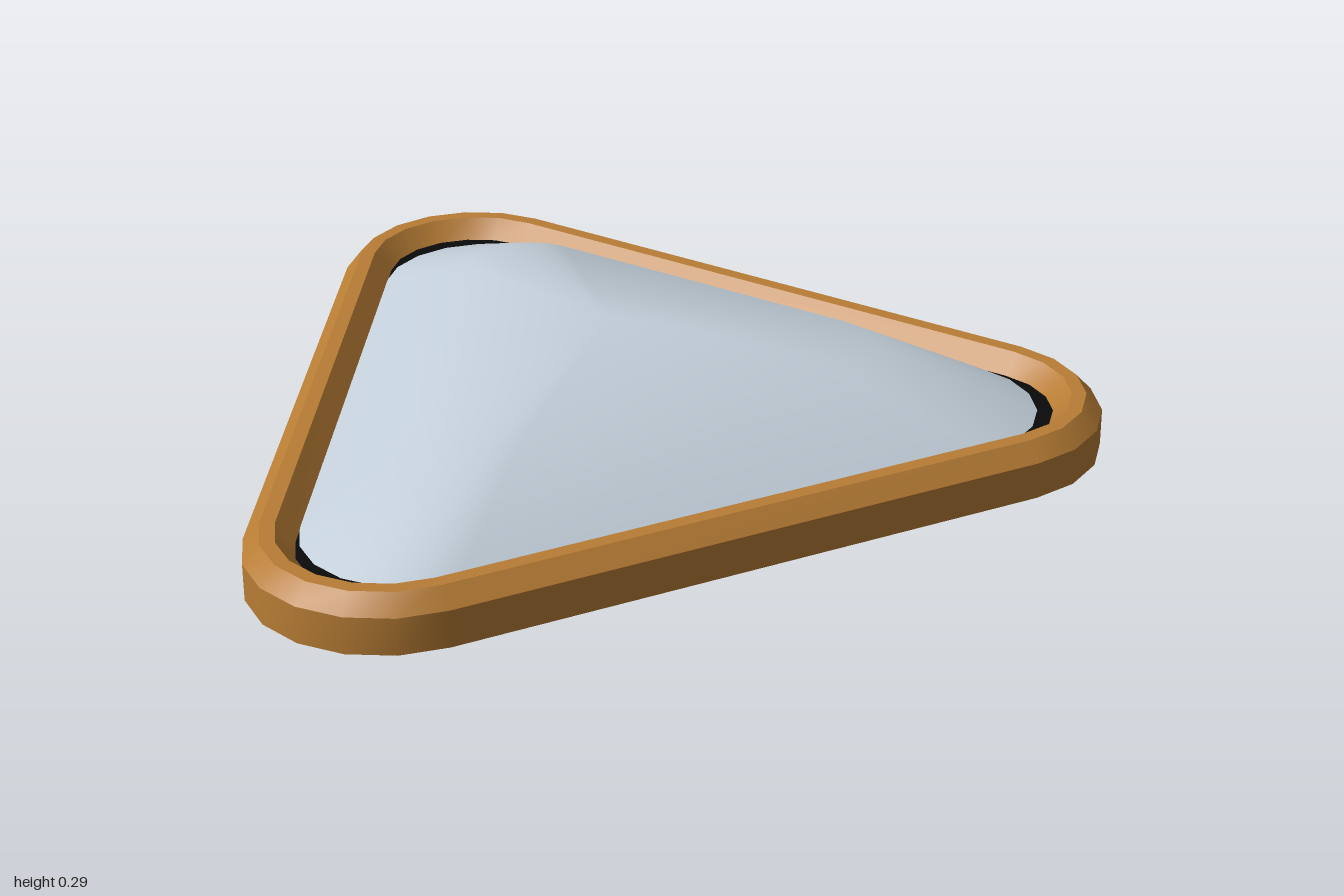
import * as THREE from 'three';

const CENTRE_X = -0.2; // centroid of the triangle
const ARC_STEPS = 6;   // segments per rounded corner

// Rounded triangle outline: corner centres at distance d, corner radius r, height y
function outline(d, r, y) {
  const points = [];
  for (let corner = 0; corner < 3; corner++) {
    const c = (corner * 2 * Math.PI) / 3;
    for (let i = 0; i <= ARC_STEPS; i++) {
      const a = c + (i / ARC_STEPS - 0.5) * (2 * Math.PI / 3);
      points.push([
        CENTRE_X + d * Math.cos(c) + r * Math.cos(a),
        y,
        -(d * Math.sin(c) + r * Math.sin(a)),
      ]);
    }
  }
  return points;
}

// Skin between successive rings; sharp = each band keeps its own vertices
function loft(rings, sharp, apex) {
  const n = rings[0].length;
  const pos = [];
  const index = [];
  const add = (ring) => {
    const start = pos.length / 3;
    ring.forEach((p) => pos.push(...p));
    return start;
  };
  let lower = add(rings[0]);
  for (let k = 1; k < rings.length; k++) {
    if (sharp && k > 1) lower = add(rings[k - 1]);
    const upper = add(rings[k]);
    for (let i = 0; i < n; i++) {
      const j = (i + 1) % n;
      index.push(lower + i, lower + j, upper + j, lower + i, upper + j, upper + i);
    }
    lower = upper;
  }
  if (apex) {
    const tip = add([apex]);
    for (let i = 0; i < n; i++) index.push(lower + i, lower + ((i + 1) % n), tip);
  }
  const geometry = new THREE.BufferGeometry();
  geometry.setAttribute('position', new THREE.Float32BufferAttribute(pos, 3));
  geometry.setIndex(index);
  geometry.computeVertexNormals();
  return geometry;
}

export function createModel() {
  const group = new THREE.Group();
  group.name = 'triangularSkylight';

  const material = (name, color) => {
    const m = new THREE.MeshStandardMaterial({ color, side: THREE.DoubleSide });
    m.name = name;
    return m;
  };
  const wood = material('warmWood', 0xb87d35);
  const glass = material('paleGlass', 0xc2ced9);
  const rubber = material('blackRubber', 0x0a0a0a);

  const part = (name, geometry, mat) => {
    const mesh = new THREE.Mesh(geometry, mat);
    mesh.name = name;
    group.add(mesh);
  };

  // Profiles are [inset from outer edge, height]
  const sweep = (profile) =>
    loft(profile.map(([inset, y]) => outline(0.8, 0.31 - inset, y)), true);

  // Frame: upright wall, outer bevel, flat rim, inner bevel
  part('frame', sweep([[0, 0], [0, 0.085], [0.037, 0.125], [0.07, 0.125], [0.11, 0.08]]), wood);

  // Seal under the edge of the pane
  part('gasket', sweep([[0.165, 0.035], [0.105, 0.035], [0.105, 0.078], [0.15, 0.078]]), rubber);

  // Shallow dome: edge ring, shoulder ring and peak
  const scale = 0.622;
  const edge = outline(0.725, 0.24, 0.08);
  const shoulder = outline(0.725 * scale, 0.24 * scale, 0.23);
  part('domePane', loft([edge, shoulder], false, [CENTRE_X, 0.29, 0]), glass);

  return group;
}
